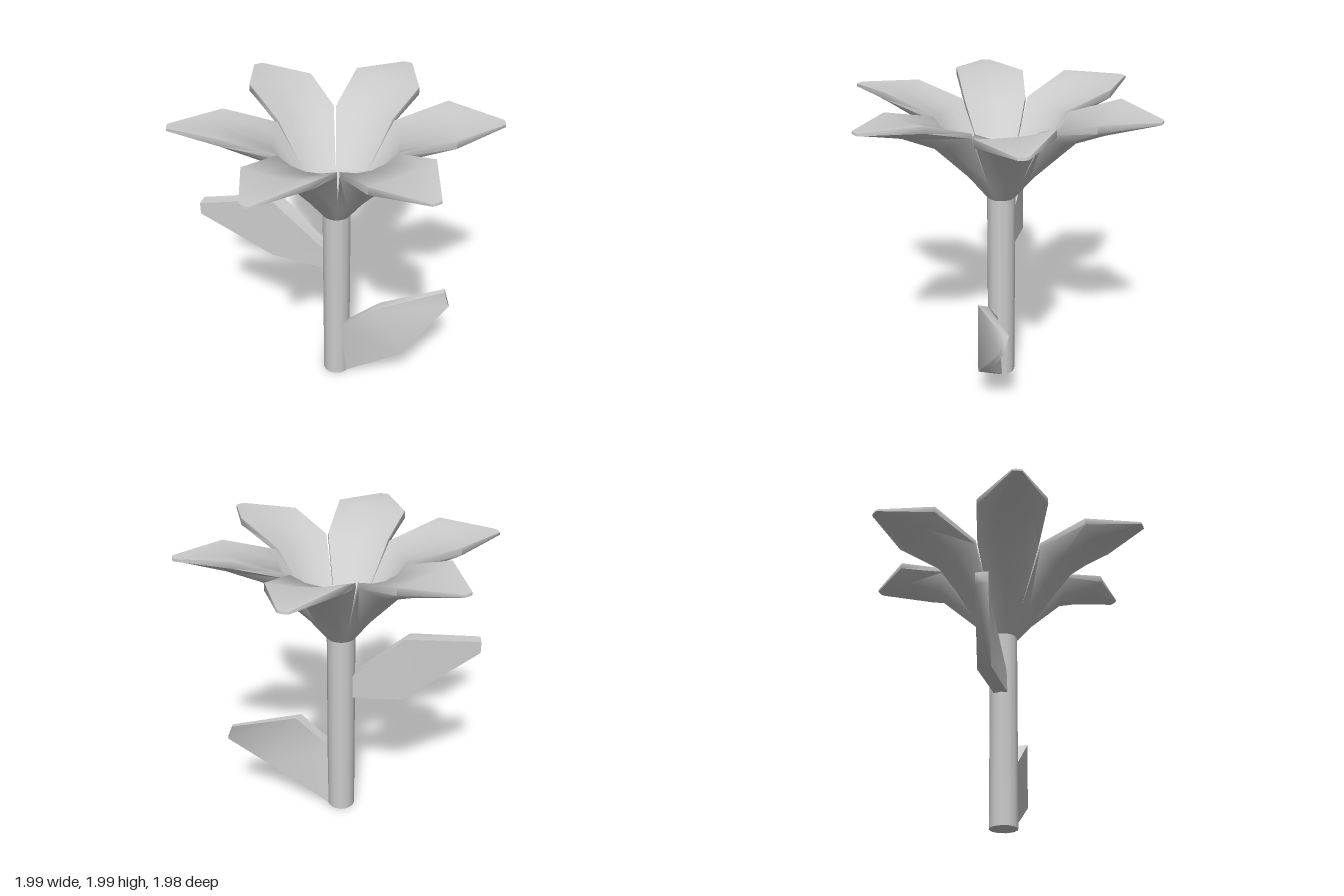
import * as THREE from 'three';
import { mergeGeometries, toCreasedNormals } from 'three/addons/utils/BufferGeometryUtils.js';

const material = new THREE.MeshStandardMaterial({ color: 0xcccccc });
const CREASE = 1.15;
const HEX = Math.tan(Math.PI / 6); // half width of a sixth of a ring, per unit of radius

// Two triangles for every cell of a grid of points
function gridIndex(rows, cols) {
  const index = [];
  for (let i = 0; i < rows - 1; i++) {
    for (let j = 0; j < cols - 1; j++) {
      const a = i * cols + j, b = a + cols;
      index.push(a, b, b + 1, a, b + 1, a + 1);
    }
  }
  return index;
}

// Solid between two grids of points, walled along the sides and the tip; the root stays open
// because it is buried, and the sides are walled only from row `first` on
function solid(front, back, rows, cols, first) {
  const n = rows * cols, index = gridIndex(rows, cols);
  for (let k = 0, end = index.length; k < end; k += 3) {
    index.push(index[k] + n, index[k + 2] + n, index[k + 1] + n);
  }
  const rim = [];
  for (let i = first; i < rows - 1; i++) rim.push(i * cols);
  for (let j = 0; j < cols - 1; j++) rim.push((rows - 1) * cols + j);
  for (let i = rows - 1; i >= first; i--) rim.push(i * cols + cols - 1);
  for (let k = 0; k < rim.length - 1; k++) {
    const a = rim[k], b = rim[k + 1];
    index.push(b, a, a + n, b, a + n, b + n);
  }
  const geometry = new THREE.BufferGeometry().setFromPoints([...front, ...back]);
  geometry.setIndex(index);
  return geometry;
}

function addMesh(group, name, geometry) {
  const mesh = new THREE.Mesh(geometry, material);
  mesh.name = name;
  group.add(mesh);
}

// Petal rows: [centre radius, centre height, edge radius, edge half width, edge height, twist]
const underside = [
  [0.093, 1.32, 0.081, 0.081 * HEX, 1.32, 0],
  [0.225, 1.48, 0.19, 0.19 * HEX, 1.49, 0],
  [0.495, 1.745, 0.37, 0.205, 1.84, 0],
  [0.72, 1.855, 0.7, 0.23, 1.925, 0.02],
  [1.024, 1.94, 1.02, 0.032, 1.94, 0],
];
const upperSide = [
  [0, 1.5, 0, 0, 1.5, 0],
  [0.215, 1.53, 0.19, 0.19 * HEX, 1.53, 0],
  [0.39, 1.83, 0.365, 0.202, 1.87, 0],
  [0.71, 1.962, 0.7, 0.228, 1.972, 0.018],
  [1.022, 1.955, 1.018, 0.032, 1.955, 0],
];

// One petal: cupped belly, flatter top, with its share of the funnel and bloom floor
function petal(angle) {
  const out = new THREE.Vector3(Math.cos(angle), 0, -Math.sin(angle));
  const side = new THREE.Vector3(Math.sin(angle), 0, Math.cos(angle));
  const points = (rows) => rows.flatMap(([rc, yc, re, w, ye, twist]) => [-1, -0.5, 0, 0.5, 1].map((t) => {
    const k = t * t;
    const p = new THREE.Vector3(0, yc + (ye - yc) * k - twist * t, 0);
    return p.addScaledVector(out, rc + (re - rc) * k).addScaledVector(side, w * t);
  }));
  return solid(points(underside), points(upperSide), 5, 5, 1);
}

// Thick leaf between two faces: rows run from root to tip, each with an upper and a lower corner
function leaf(front, back) {
  const points = (rows) => rows.flat().map((p) => new THREE.Vector3(...p));
  return toCreasedNormals(solid(points(front), points(back), front.length, 2, 0), CREASE);
}

export function createModel() {
  const group = new THREE.Group();
  group.name = 'flower';

  // Stem
  const stem = new THREE.CylinderGeometry(0.093, 0.093, 1.33, 12);
  stem.translate(0, 0.665, 0);
  addMesh(group, 'stem', stem);

  // Six petals
  const petals = [];
  for (let i = 0; i < 6; i++) petals.push(petal(THREE.MathUtils.degToRad(14.5 + i * 60)));
  addMesh(group, 'petals', toCreasedNormals(mergeGeometries(petals), CREASE));

  // Leaves
  addMesh(group, 'lowerLeaf', leaf([
    [[0.02, 0.43, 0.05], [0.06, 0, 0.065]],
    [[0.12, 0.665, 0.29], [0.24, 0.3, 0.445]],
    [[0.49, 0.71, 0.55], [0.49, 0.6, 0.59]],
  ], [
    [[-0.05, 0.43, 0.07], [0, 0, 0.085]],
    [[0.04, 0.655, 0.3], [0.17, 0.275, 0.46]],
    [[0.46, 0.705, 0.57], [0.465, 0.6, 0.61]],
  ]));
  addMesh(group, 'upperLeaf', leaf([
    [[-0.07, 1.04, -0.05], [-0.075, 0.89, -0.05]],
    [[-0.22, 1.35, -0.385], [-0.22, 0.91, -0.385]],
    [[-0.51, 1.3, -0.75], [-0.51, 1.22, -0.75]],
  ], [
    [[0.01, 1.04, -0.08], [0.01, 0.89, -0.08]],
    [[-0.12, 1.35, -0.4], [-0.12, 0.91, -0.4]],
    [[-0.44, 1.3, -0.79], [-0.44, 1.22, -0.79]],
  ]));

  return group;
}
